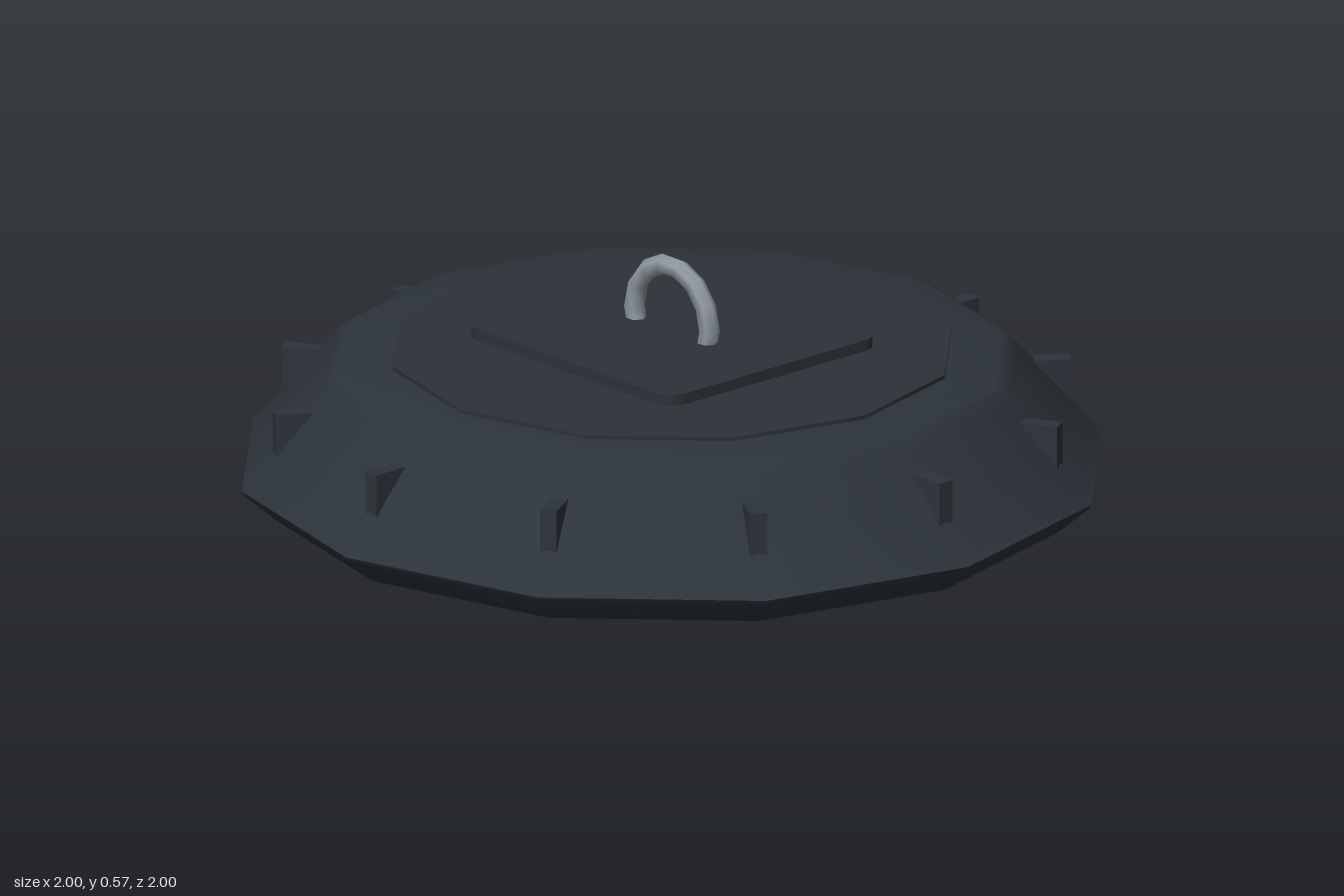
import * as THREE from 'three';
import { toCreasedNormals } from 'three/addons/utils/BufferGeometryUtils.js';

const SIDES = 12;
const mat = (color) => new THREE.MeshStandardMaterial({ color });

export function createModel() {
  const model = new THREE.Group();
  const dark = mat(0x2c333a);
  const plateMat = mat(0x2d3138);
  const metal = mat(0x8e989f);
  const panelMat = mat(0x555555);
  const rimMat = mat(0x66696c);
  const ledMat = mat(0x8a7a2a);

  const add = (name, geometry, material, parent = model) => {
    const mesh = new THREE.Mesh(geometry, material);
    mesh.name = name;
    parent.add(mesh);
    return mesh;
  };

  // Twelve-sided housing: recessed lip, flared rim, sloping wall, softened shoulder
  const profile = [
    [0.85, 0.055], [0.92, 0], [0.995, 0.065], [1, 0.075], [0.985, 0.088],
    [0.905, 0.19], [0.805, 0.3], [0.785, 0.325], [0.77, 0.331], [0.64, 0.342],
  ].map(([r, y]) => new THREE.Vector2(r, y));
  add('housing', toCreasedNormals(new THREE.LatheGeometry(profile, SIDES), 0.75), dark);

  // Flat cap on top of the housing
  const cap = add('topCap', new THREE.CylinderGeometry(0.65, 0.65, 0.018, SIDES), plateMat);
  cap.position.y = 0.341;

  // Cooling fins at the corners of the housing
  const fins = new THREE.Group();
  fins.name = 'fins';
  for (let i = 0; i < SIDES; i++) {
    const pivot = new THREE.Group();
    pivot.rotation.y = (i / SIDES) * Math.PI * 2;
    const fin = add('fin', new THREE.BoxGeometry(0.105, 0.105, 0.04), dark, pivot);
    fin.position.set(0.8725, 0.2075, 0);
    fins.add(pivot);
  }
  model.add(fins);

  // Mounting plate with rounded corners
  const w = 0.35, d = 0.325, r = 0.05;
  const shape = new THREE.Shape();
  shape.absarc(w - r, d - r, r, 0, Math.PI / 2);
  shape.absarc(r - w, d - r, r, Math.PI / 2, Math.PI);
  shape.absarc(r - w, r - d, r, Math.PI, Math.PI * 1.5);
  shape.absarc(w - r, r - d, r, Math.PI * 1.5, Math.PI * 2);
  const plate = new THREE.ExtrudeGeometry(shape, { depth: 0.026, bevelEnabled: false, curveSegments: 4 });
  plate.rotateX(-Math.PI / 2);
  add('mountingPlate', plate, plateMat).position.y = 0.365;

  // Hanging ring, its lower part sunk into the housing
  add('hangingRing', new THREE.TorusGeometry(0.127, 0.024, 6, 14), metal).position.y = 0.418;

  // Recessed light panel with its bezel and central cover
  const panelY = 0.052;
  const panel = add('lightPanel', new THREE.CircleGeometry(0.855, SIDES), panelMat);
  panel.rotation.x = Math.PI / 2;
  panel.position.y = panelY;
  const bezel = add('panelBezel', new THREE.TorusGeometry(0.845, 0.012, 6, SIDES), metal);
  bezel.rotation.x = Math.PI / 2;
  bezel.position.y = panelY;
  const cover = add('centreCover', new THREE.CylinderGeometry(0.1, 0.1, 0.008, 24), mat(0x44484c));
  cover.position.y = panelY - 0.003;

  // Lamps in three concentric rings
  const lamps = new THREE.Group();
  lamps.name = 'lamps';
  const seatGeo = new THREE.CylinderGeometry(0.036, 0.036, 0.004, 12);
  const baseGeo = new THREE.BoxGeometry(0.03, 0.006, 0.03);
  const lampGeo = new THREE.CylinderGeometry(0.011, 0.011, 0.009, 8);
  for (const [radius, count] of [[0.745, 36], [0.555, 20], [0.36, 12]]) {
    for (let i = 0; i < count; i++) {
      const a = (i / count) * Math.PI * 2;
      const lamp = new THREE.Group();
      lamp.name = 'lamp';
      add('lampSeat', seatGeo, panelMat, lamp);
      add('lampBase', baseGeo, rimMat, lamp);
      add('lampLens', lampGeo, ledMat, lamp);
      lamp.position.set(radius * Math.cos(a), panelY - 0.001, radius * Math.sin(a));
      lamp.rotation.y = -a;
      lamps.add(lamp);
    }
  }
  model.add(lamps);

  return model;
}
